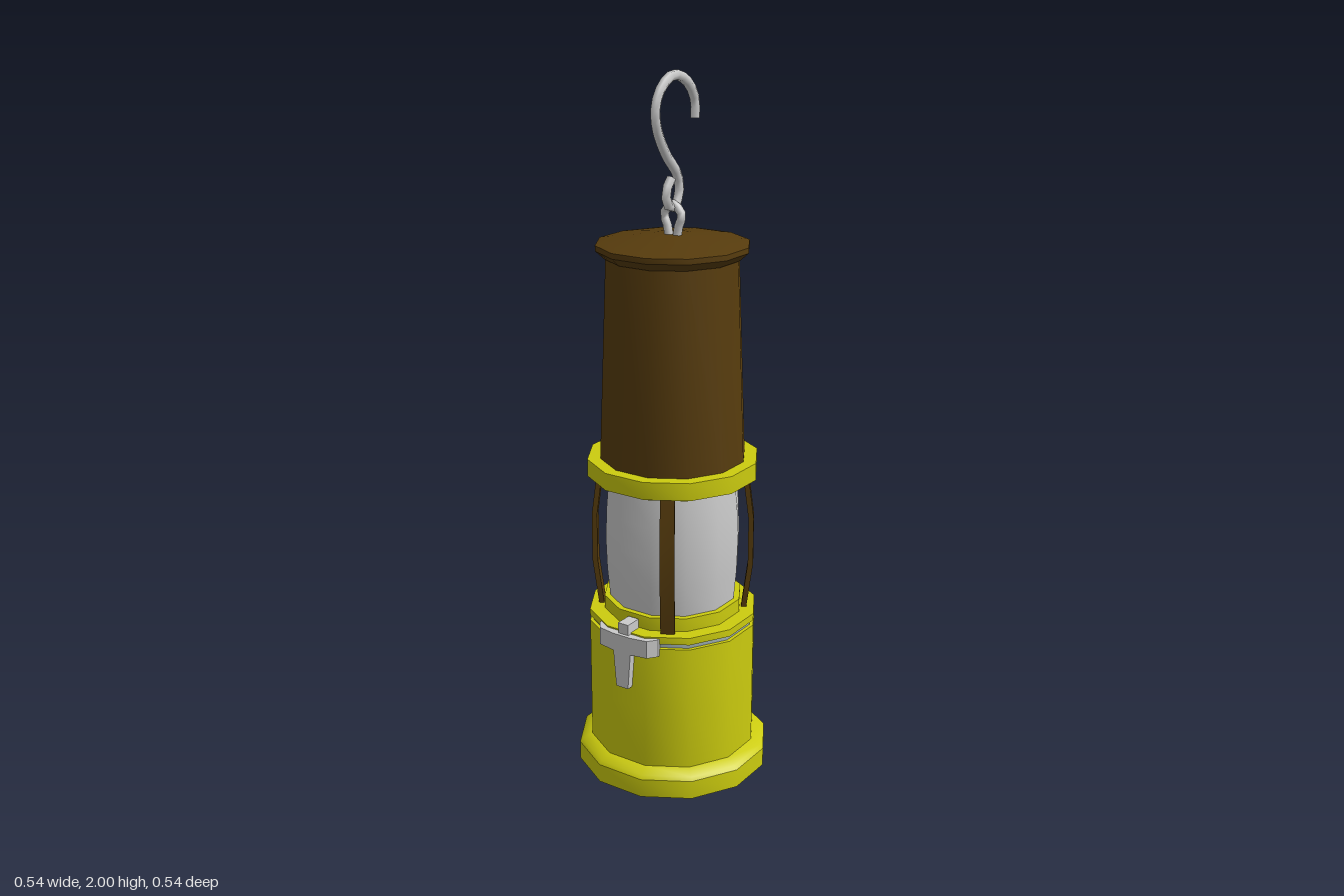
import * as THREE from 'three';
import { toCreasedNormals, mergeVertices } from 'three/addons/utils/BufferGeometryUtils.js';

const mat = (color) => new THREE.MeshStandardMaterial({ color });
const SIDES = 12;

export function createModel() {
  const lamp = new THREE.Group();
  lamp.name = 'lamp';
  const yellow = mat(0xcccc0f), brown = mat(0x573c0d), grey = mat(0xcccccc), seal = mat(0x9fb0b4);

  function add(name, geometry, material, parent = lamp) {
    const mesh = new THREE.Mesh(geometry, material);
    mesh.name = name;
    parent.add(mesh);
    return mesh;
  }

  // Twelve-sided turned part; profile of [radius, y] runs bottom to top
  function turned(name, profile, material) {
    const points = profile.map(([r, y]) => new THREE.Vector2(r, y));
    const geometry = new THREE.LatheGeometry(points, SIDES, Math.PI / SIDES);
    return add(name, toCreasedNormals(geometry, 0.6), material);
  }

  // Base and tank
  turned('base', [[0, 0], [0.28, 0], [0.28, 0.055], [0.272, 0.065], [0.243, 0.08], [0, 0.08]], yellow);
  const tank = turned('tank', [[0.243, 0.07], [0.243, 0.26], [0.243, 0.45], [0, 0.45]], yellow);
  // Small dent-like bulge on one corner of the tank
  const pos = tank.geometry.attributes.position;
  for (let i = 0; i < pos.count; i++) {
    if (Math.abs(pos.getY(i) - 0.26) < 0.01 && pos.getX(i) < -0.2 && pos.getZ(i) > 0.03) pos.setX(i, -0.246);
  }
  turned('seal', [[0.232, 0.445], [0.232, 0.47]], seal);

  // Glass with its collars
  turned('lowerRing', [[0, 0.465], [0.243, 0.465], [0.243, 0.486], [0, 0.486]], yellow);
  turned('lowerCollar', [[0.2, 0.48], [0.2, 0.525], [0, 0.525]], yellow);
  turned('glass', [[0.182, 0.51], [0.191, 0.61], [0.194, 0.7], [0.191, 0.79], [0.182, 0.9]], grey);
  turned('upperCollar', [[0, 0.877], [0.203, 0.877], [0.203, 0.9]], yellow);
  turned('upperRing', [[0, 0.893], [0.243, 0.893], [0.243, 0.943], [0, 0.943]], yellow);

  // Chimney and cap
  turned('chimney', [[0.207, 0.93], [0.184, 1.515]], brown);
  turned('cap', [[0, 1.508], [0.188, 1.508], [0.212, 1.53], [0.212, 1.545], [0.185, 1.55], [0.06, 1.567], [0, 1.567]], brown);

  // Four bowed guard straps around the glass
  const strap = new THREE.BoxGeometry(0.04, 0.42, 0.015, 1, 3, 1);
  const sp = strap.attributes.position;
  for (let i = 0; i < sp.count; i++) {
    if (Math.abs(sp.getY(i)) < 0.1) sp.setZ(i, sp.getZ(i) + 0.018);
  }
  strap.computeVertexNormals();
  for (let i = 0; i < 4; i++) {
    const guard = new THREE.Group();
    guard.name = 'guard' + (i + 1);
    guard.rotation.y = Math.PI / 6 + i * Math.PI / 2;
    add('strap', strap, brown, guard).position.set(0, 0.69, 0.205);
    lamp.add(guard);
  }

  // Front latch: curved plate, tapering tongue and top tab
  const latch = new THREE.Group();
  latch.name = 'latch';
  lamp.add(latch);
  const plateShape = new THREE.Shape([
    [-0.1, -0.212], [-0.1, -0.222], [-0.08, -0.248], [-0.03, -0.257], [0.03, -0.257],
    [0.08, -0.248], [0.1, -0.222], [0.1, -0.212],
  ].map(([x, y]) => new THREE.Vector2(x, y)));
  const plate = new THREE.ExtrudeGeometry(plateShape, { depth: 0.052, bevelEnabled: false });
  plate.rotateX(-Math.PI / 2);
  add('plate', plate, grey, latch).position.y = 0.43;
  const tongueShape = new THREE.Shape([
    [-0.03, 0.44], [-0.02, 0.32], [0.02, 0.32], [0.03, 0.44],
  ].map(([x, y]) => new THREE.Vector2(x, y)));
  const tongue = new THREE.ExtrudeGeometry(tongueShape, { depth: 0.025, bevelEnabled: false });
  add('tongue', tongue, grey, latch).position.z = 0.23;
  add('tab', new THREE.BoxGeometry(0.034, 0.035, 0.05), grey, latch).position.set(0, 0.496, 0.222);

  // Bent rod along a path, with closed ends
  function rod(name, path, radius, segments) {
    const curve = new THREE.CatmullRomCurve3(path);
    add(name, new THREE.TubeGeometry(curve, segments, radius, 6), grey);
    for (const t of [0, 1]) {
      const end = new THREE.CircleGeometry(radius, 6);
      const tip = add(name + 'End', end, grey);
      const out = curve.getTangentAt(t).multiplyScalar(t ? 1 : -1);
      tip.position.copy(curve.getPointAt(t));
      tip.quaternion.setFromUnitVectors(new THREE.Vector3(0, 0, 1), out);
    }
  }

  // Eye on the cap and the hanging hook through it
  rod('eye', [[-0.012, 1.555], [-0.018, 1.59], [-0.028, 1.622], [0, 1.65], [0.028, 1.622], [0.018, 1.59], [0.012, 1.555]]
    .map(([x, y]) => new THREE.Vector3(x, y, 0)), 0.012, 12);
  rod('hook', [
    [-0.105, 1.865], [-0.105, 1.91], [-0.074, 1.958], [-0.005, 1.986], [0.053, 1.958], [0.08, 1.91], [0.074, 1.855],
    [0.032, 1.783], [-0.02, 1.725], [-0.03, 1.677], [0, 1.634], [0.03, 1.66], [0.03, 1.69], [0.008, 1.718],
  ].map(([z, y]) => new THREE.Vector3(0, y, z)), 0.014, 26);

  return lamp;
}
